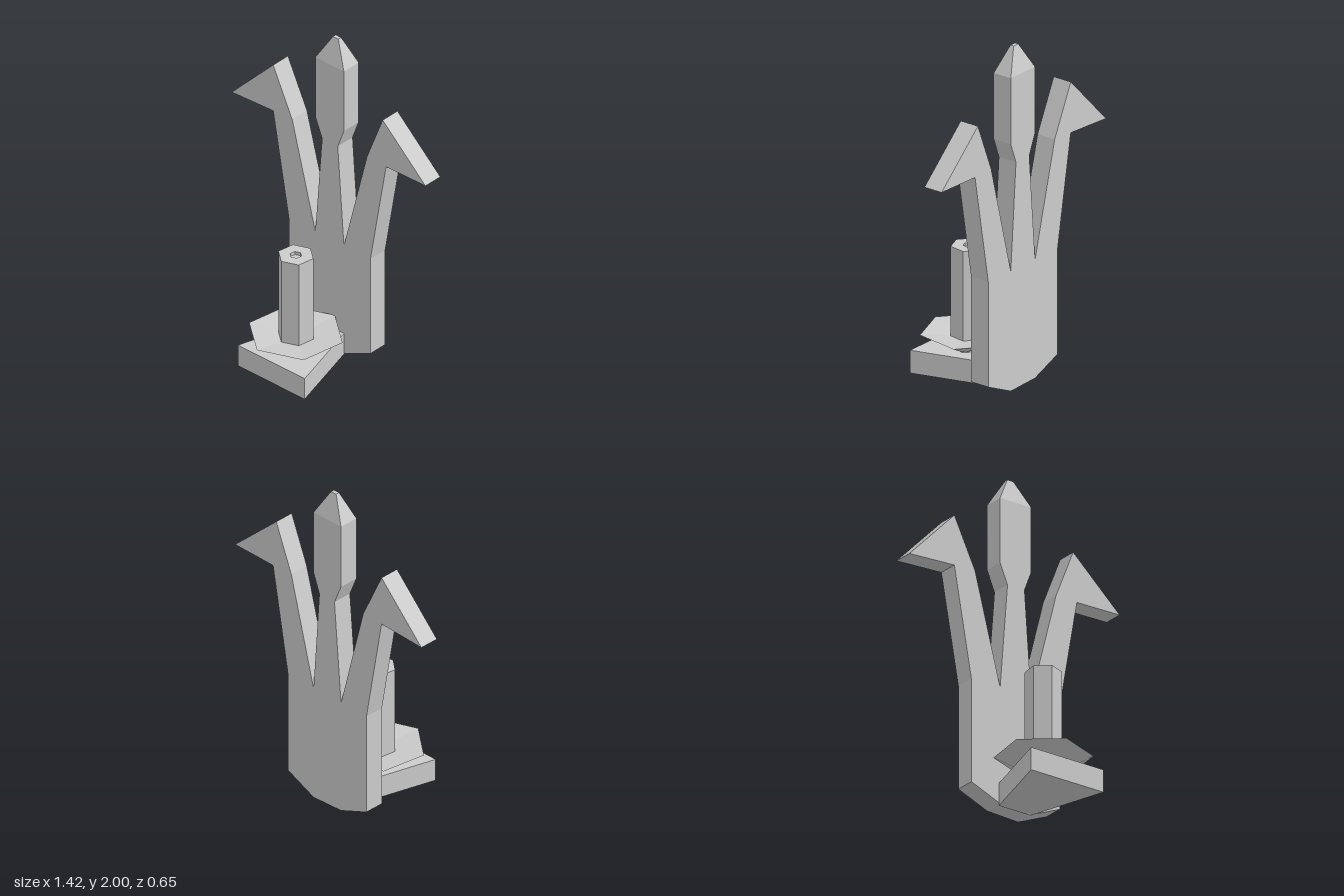
import * as THREE from 'three';

const material = new THREE.MeshStandardMaterial({ color: 0xcccccc, flatShading: true });

function add(parent, name, geometry) {
  const mesh = new THREE.Mesh(geometry, material);
  mesh.name = name;
  parent.add(mesh);
  return mesh;
}

function extrude(points, depth) {
  const shape = new THREE.Shape(points.map(([x, y]) => new THREE.Vector2(x, y)));
  return new THREE.ExtrudeGeometry(shape, { depth, bevelEnabled: false });
}

// Six-sided turned part from [radius, height] pairs
function turned(profile) {
  return new THREE.LatheGeometry(profile.map(([r, y]) => new THREE.Vector2(r, y)), 6, -0.155);
}

export function createModel() {
  const model = new THREE.Group();
  model.name = 'candleSconce';

  // Back plate: two hooked side prongs and a straight central one
  const plate = add(model, 'backPlate', extrude([
    [-0.1, 0.012], [0.11, 0.003], [0.305, 0.09], [0.305, 0.71],
    // right prong
    [0.42, 1.365], [0.71, 1.37], [0.395, 1.66], [0.28, 1.37], [0.11, 0.71],
    // central prong
    [0.065, 1.34], [0.11, 1.46], [0.11, 1.85], [-0.1, 1.85], [-0.1, 1.46], [-0.05, 1.34],
    // left prong
    [-0.1, 0.71], [-0.27, 1.365], [-0.41, 1.66], [-0.715, 1.345], [-0.41, 1.36],
    [-0.295, 0.71], [-0.295, 0.09],
  ], 0.12));
  plate.position.z = -0.33;

  // Tapered tip of the central prong
  const tipGeometry = new THREE.CylinderGeometry(0.19 * Math.SQRT2, Math.SQRT2, 0.15, 4);
  tipGeometry.rotateY(Math.PI / 4).scale(0.105, 1, 0.06);
  add(model, 'centralTip', tipGeometry).position.set(0.005, 1.925, -0.27);

  // Shelf widening towards the front
  const shelfGeometry = extrude([[-0.24, -0.263], [0.25, -0.263], [0.11, 0.215], [-0.105, 0.215]], 0.135);
  add(model, 'shelf', shelfGeometry.rotateX(-Math.PI / 2));

  // Drip dish and candle
  const candle = new THREE.Group();
  candle.name = 'candleHolder';
  candle.position.set(-0.003, 0, 0.055);
  model.add(candle);
  add(candle, 'dripDish', turned([
    [0.108, 0.13], [0.108, 0.15], [0.133, 0.15], [0.273, 0.22], [0.09, 0.2],
  ]));
  add(candle, 'candle', turned([
    [0.102, 0.19], [0.102, 0.73], [0.033, 0.73], [0.033, 0.71], [0, 0.71],
  ]));

  return model;
}
